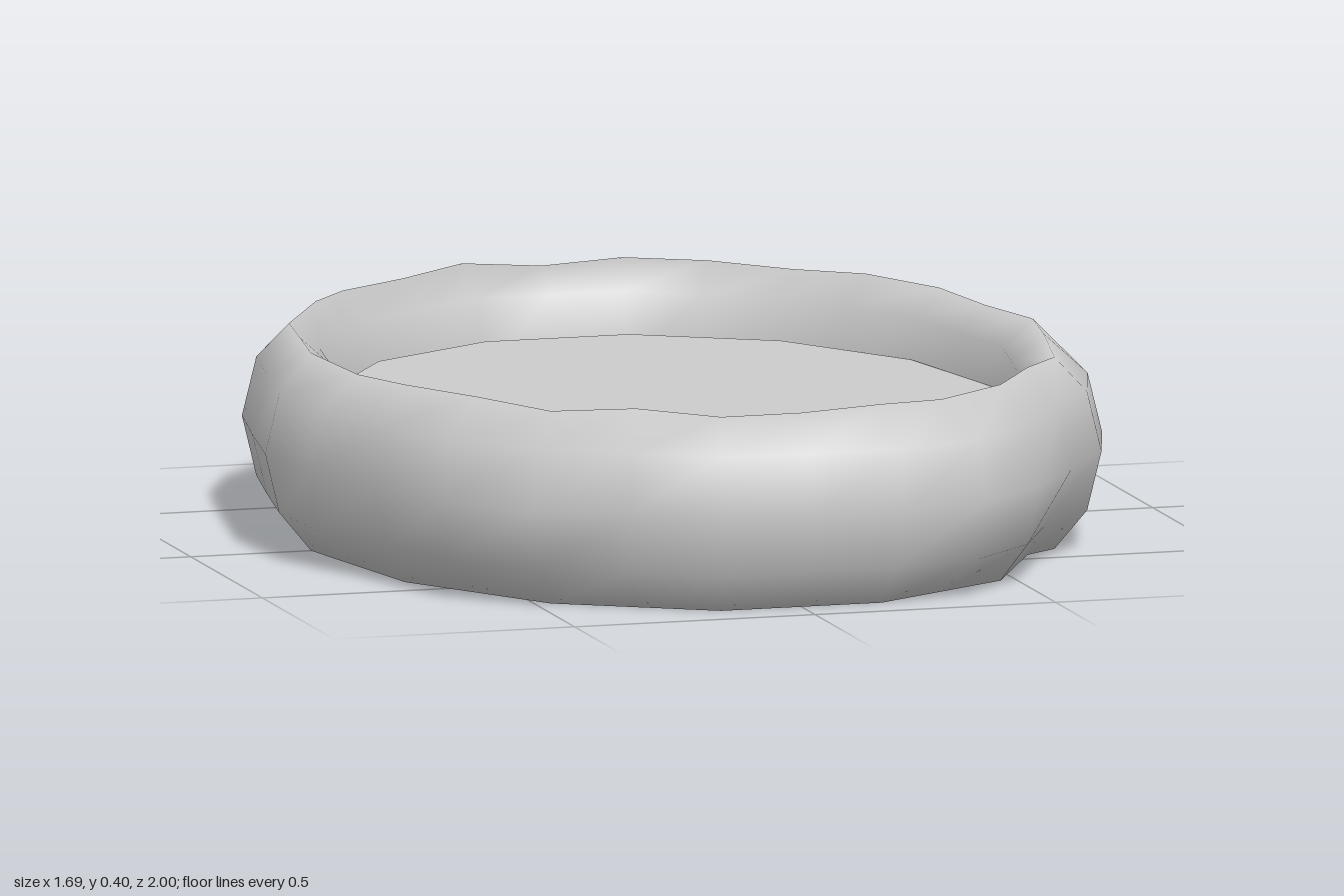
import * as THREE from 'three';

const SIDES = 14;
const grey = () => new THREE.MeshStandardMaterial({ color: 0xcccccc, side: THREE.DoubleSide });

// Tube section: [offset across the tube, height]
const SECTION = [
  [0.095, 0.2], [0.066, 0.32], [0, 0.395], [-0.062, 0.34],
  [-0.09, 0.2], [-0.07, 0.08], [0, 0], [0.066, 0.08],
];
// Outward bulge halfway along each side of the oval
const BULGE = [0.022, 0, 0.045, 0, -0.015, 0.035, 0.025, 0, 0.025, 0.045, 0, 0.015, 0, 0];

// Point on the 14-sided oval; half steps fall midway along a side
function ovalPoint(step) {
  const at = (k) => {
    const a = (k / SIDES) * Math.PI * 2;
    return new THREE.Vector2(Math.cos(a), Math.sin(a));
  };
  return at(Math.floor(step)).lerp(at(Math.floor(step) + 1), step % 1);
}

// Soft, slightly dented oval tube
function buildRim() {
  const rings = SIDES * 2, n = SECTION.length;
  const positions = [], index = [];
  for (let i = 0; i < rings; i++) {
    const p = ovalPoint(i / 2);
    const dir = p.clone().normalize();
    const bulge = i % 2 ? BULGE[(i - 1) / 2] : i === 12 ? -0.02 : 0;
    const dent = i === 3 ? 1 : 0;
    SECTION.forEach(([d, h], j) => {
      let off = d, y = h;
      if (d > 0) off += bulge;
      if (j === 2) y += 0.007 * Math.sin(i * 2.3);
      if (dent && j === 7) off -= 0.03;
      if (dent && j === 6) y += 0.02;
      positions.push(p.x * 0.75 + dir.x * off, y, p.y * 0.928 + dir.y * off);
      const a = i * n + j, b = i * n + ((j + 1) % n);
      const c = ((i + 1) % rings) * n + j, e = ((i + 1) % rings) * n + ((j + 1) % n);
      index.push(a, b, c, b, e, c);
    });
  }
  const g = new THREE.BufferGeometry();
  g.setAttribute('position', new THREE.Float32BufferAttribute(positions, 3));
  g.setIndex(index);
  g.computeVertexNormals();
  const rim = new THREE.Mesh(g, grey());
  rim.material.side = THREE.FrontSide;
  rim.name = 'rim';
  return rim;
}

// Flat panel stretched across the opening
function buildPanel() {
  const g = new THREE.CircleGeometry(1, SIDES);
  g.rotateX(-Math.PI / 2);
  g.scale(0.67, 1, 0.82);
  const panel = new THREE.Mesh(g, grey());
  panel.position.y = 0.26;
  panel.name = 'panel';
  return panel;
}

export function createModel() {
  const model = new THREE.Group();
  model.name = 'ovalCushionedTray';
  model.add(buildRim(), buildPanel());
  return model;
}
